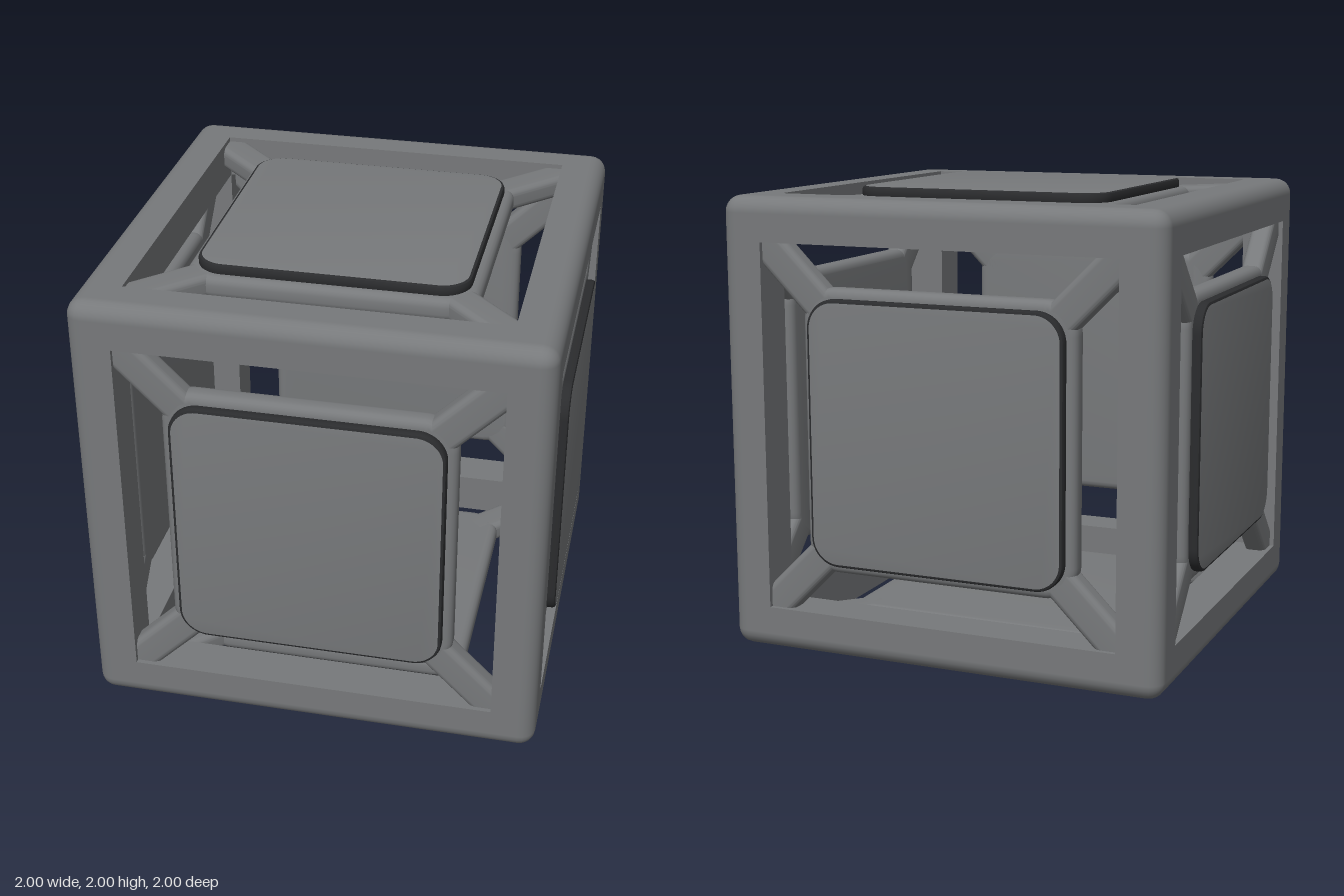
import * as THREE from 'three';
import { toCreasedNormals } from 'three/addons/utils/BufferGeometryUtils.js';

const grey = new THREE.MeshStandardMaterial({ color: 0x77797b });
grey.name = 'mid grey';
const dark = new THREE.MeshStandardMaterial({ color: 0x2b2c2e });
dark.name = 'dark grey';

const OUT = 0.98, BAR = 0.19, INN = OUT - BAR, RAD = BAR * 3 / 8;
const HALF = Math.PI / 2;

// rounds the edges of a box that lie on the outside (+x, +y, +z) of the cage
function roundOuter(geo) {
  const p = geo.attributes.position, n = geo.attributes.normal;
  const v = new THREE.Vector3(), core = new THREE.Vector3(), d = new THREE.Vector3();
  const limit = new THREE.Vector3().setScalar(OUT - RAD);
  for (let i = 0; i < p.count; i++) {
    v.fromBufferAttribute(p, i);
    core.copy(v).min(limit);
    d.subVectors(v, core);
    const reach = Math.max(d.x, d.y, d.z);
    if (reach < 1e-5) continue;
    d.normalize();
    v.copy(core).addScaledVector(d, reach);
    p.setXYZ(i, v.x, v.y, v.z);
    if (reach > RAD - 1e-4 && n.getX(i) + n.getY(i) + n.getZ(i) > 0) n.setXYZ(i, d.x, d.y, d.z);
  }
  return geo;
}

function roundedRect(w, h, r) {
  const s = new THREE.Shape(), x = w / 2, y = h / 2;
  s.absarc(x - r, y - r, r, 0, HALF);
  s.absarc(-x + r, y - r, r, HALF, Math.PI);
  s.absarc(-x + r, -y + r, r, Math.PI, 3 * HALF);
  s.absarc(x - r, -y + r, r, 3 * HALF, 4 * HALF);
  s.closePath();
  return s;
}

// rounded slab from z0 to z1 with bevelled edges
function slab(size, r, z0, z1, bevel, segments) {
  const inner = size - 2 * bevel;
  const g = new THREE.ExtrudeGeometry(roundedRect(inner, inner, r - bevel), {
    depth: z1 - z0 - 2 * bevel, bevelThickness: bevel, bevelSize: bevel,
    bevelSegments: segments, curveSegments: 8,
  });
  g.translate(0, 0, z0 + bevel);
  return toCreasedNormals(g, 0.6);
}

function add(parent, name, geo, mat) {
  const m = new THREE.Mesh(geo, mat);
  m.name = name;
  parent.add(m);
  return m;
}

export function createModel() {
  const model = new THREE.Group();
  model.name = 'cageCube';
  const cube = new THREE.Group();
  cube.name = 'cube';
  cube.position.y = 1;
  model.add(cube);

  // outer frame: twelve bars and eight rounded corners
  const mid = INN + BAR / 2;
  const barGeo = roundOuter(new THREE.BoxGeometry(2 * INN, BAR, BAR, 1, 8, 8).translate(0, mid, mid));
  const cornerGeo = roundOuter(new THREE.BoxGeometry(BAR, BAR, BAR, 8, 8, 8).translate(mid, mid, mid));
  const frame = new THREE.Group();
  frame.name = 'outerFrame';
  cube.add(frame);
  for (let k = 0; k < 4; k++) {
    for (const [name, geo, tilt] of [
      ['topBar', barGeo, [0, 0, 0]], ['bottomBar', barGeo, [Math.PI, 0, 0]], ['uprightBar', barGeo, [0, 0, HALF]],
      ['topCorner', cornerGeo, [0, 0, 0]], ['bottomCorner', cornerGeo, [Math.PI, 0, 0]],
    ]) {
      const turn = new THREE.Group();
      turn.name = name;
      turn.rotation.y = k * HALF;
      add(turn, name, geo, grey).rotation.set(...tilt);
      frame.add(turn);
    }
  }

  // parts shared by the six sides
  const backGeo = slab(1.22, 0.14, 0.86, 0.96, 0.035, 4);
  const panelGeo = slab(1.14, 0.125, 0.95, 1.0, 0.014, 2);
  const strutGeo = toCreasedNormals(new THREE.ExtrudeGeometry(roundedRect(0.15, 0.1, 0.03), {
    depth: 0.48, bevelEnabled: false, curveSegments: 5,
  }), 0.6);
  strutGeo.rotateY(HALF).rotateX(HALF).translate(0.7, 0, 0.91);

  const turns = {
    front: [0, 0], left: [0, HALF], back: [0, Math.PI], right: [0, -HALF], top: [-HALF, 0], bottom: [HALF, 0],
  };
  for (const [side, [rx, ry]] of Object.entries(turns)) {
    const face = new THREE.Group();
    face.name = side + 'Side';
    face.rotation.set(rx, ry, 0);
    add(face, 'panelBacking', backGeo, grey);
    add(face, 'panel', panelGeo, [grey, dark]);
    // diagonal struts to the frame corners
    for (let k = 0; k < 4; k++) add(face, 'strut', strutGeo, grey).rotation.z = Math.PI / 4 + k * HALF;
    cube.add(face);
  }
  return model;
}
